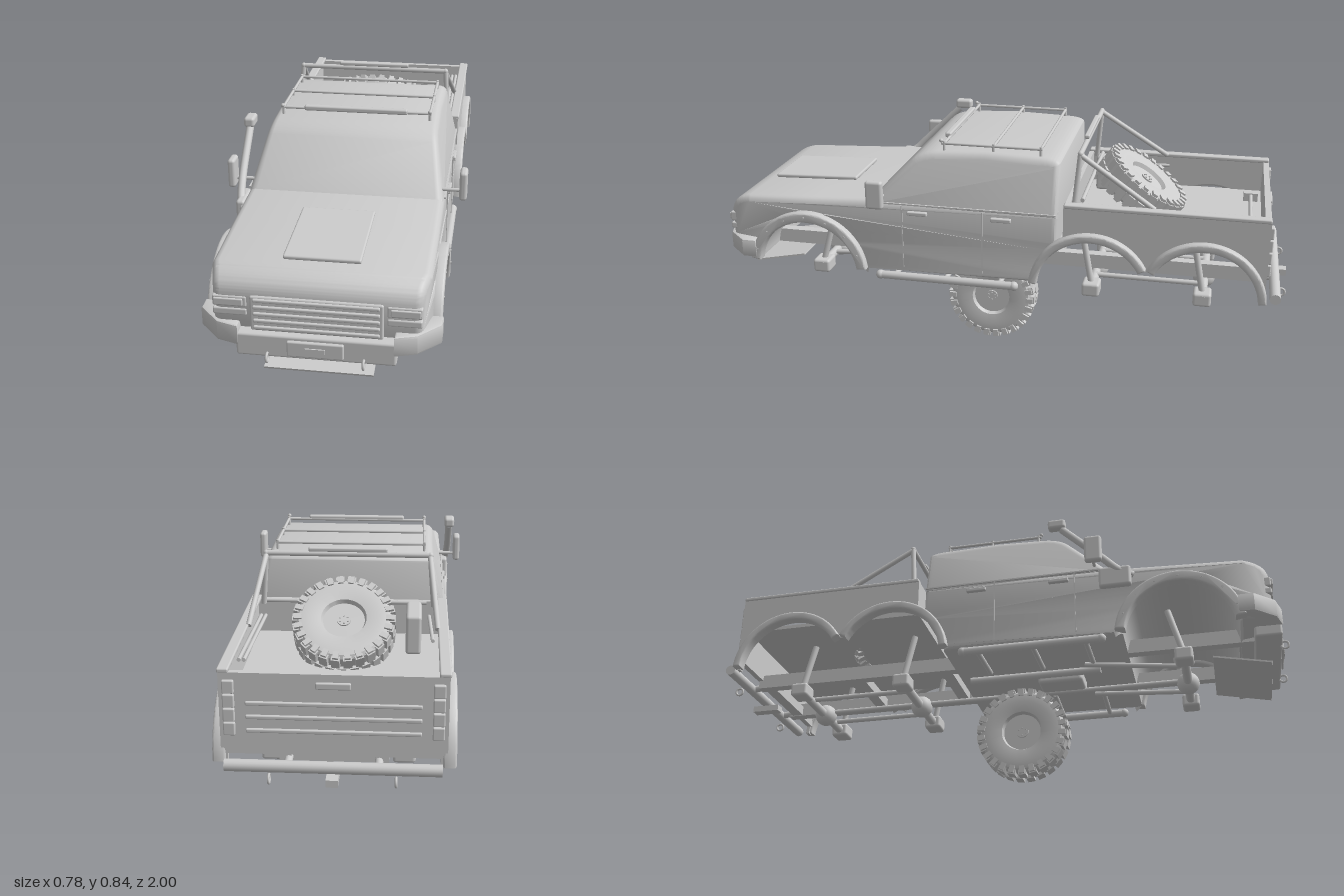
import * as THREE from 'three';
import { toCreasedNormals } from 'three/addons/utils/BufferGeometryUtils.js';
import { RoundedBoxGeometry } from 'three/addons/geometries/RoundedBoxGeometry.js';

const grey = new THREE.MeshStandardMaterial({ color: 0xcccccc });
grey.name = 'grey';
const V = (x, y, z) => new THREE.Vector3(x, y, z);
const rad = THREE.MathUtils.degToRad;

function add(parent, name, geometry) {
  const mesh = new THREE.Mesh(geometry, grey);
  mesh.name = name;
  parent.add(mesh);
  return mesh;
}
function box(parent, name, w, h, d, x, y, z) {
  const m = add(parent, name, new THREE.BoxGeometry(w, h, d));
  m.position.set(x, y, z);
  return m;
}
function soft(parent, name, w, h, d, x, y, z, r = 0.008) {
  const m = add(parent, name, new RoundedBoxGeometry(w, h, d, 2, r));
  m.position.set(x, y, z);
  return m;
}
function bar(parent, name, a, b, r, sides = 12) {
  const dir = b.clone().sub(a);
  const m = add(parent, name, new THREE.CylinderGeometry(r, r, dir.length(), sides));
  m.position.copy(a).add(b).multiplyScalar(0.5);
  m.quaternion.setFromUnitVectors(V(0, 1, 0), dir.normalize());
  return m;
}
// Extrudes a side profile drawn in (z, y) across x, centred on x = 0
function sideExtrude(shape, width, bevel) {
  const g = new THREE.ExtrudeGeometry(shape, {
    depth: width - 2 * bevel, bevelEnabled: bevel > 0, bevelSize: bevel, bevelOffset: -bevel,
    bevelThickness: bevel, bevelSegments: 3, curveSegments: 24,
  });
  g.translate(0, 0, -(width - 2 * bevel) / 2);
  return g.rotateY(-Math.PI / 2);
}
function reshape(g, widthAt) {
  const p = g.attributes.position;
  for (let i = 0; i < p.count; i++) p.setX(i, p.getX(i) * widthAt(p.getY(i), p.getZ(i)));
  return toCreasedNormals(g, 0.6);
}
function flareShape(cz, cy, ri, ro, a0, a1) {
  const s = new THREE.Shape();
  s.absarc(cz, cy, ro, rad(a0), rad(a1), false);
  s.absarc(cz, cy, ri, rad(a1), rad(a0), true);
  return s;
}

// Tyre, rim, hub bolts and staggered tread blocks, axle along x
function makeWheel(name) {
  const wheel = new THREE.Group();
  wheel.name = name;
  const half = [[0, 0.03], [0.066, 0.03], [0.072, 0.044], [0.11, 0.05], [0.142, 0.046], [0.152, 0.036]];
  const pts = [...half.map(([r, a]) => [r, -a]), ...half.slice().reverse()];
  const tyre = new THREE.LatheGeometry(pts.map(([r, a]) => new THREE.Vector2(r, a)), 48);
  add(wheel, 'tyreAndRim', toCreasedNormals(tyre, 0.5).rotateZ(Math.PI / 2));
  const n = 26;
  for (let i = 0; i < n; i++) for (const s of [-1, 1]) {
    const a = ((i + (s > 0 ? 0.5 : 0)) / n) * Math.PI * 2;
    const tread = box(wheel, 'treadBlock', 0.041, 0.018, 0.027, s * 0.0235, Math.cos(a) * 0.154, Math.sin(a) * 0.154);
    tread.rotation.x = a;
    const lug = box(wheel, 'shoulderLug', 0.012, 0.026, 0.018, s * 0.047, Math.cos(a) * 0.146, Math.sin(a) * 0.146);
    lug.rotation.x = a;
  }
  for (const s of [-1, 1]) {
    bar(wheel, 'hub', V(s * 0.02, 0, 0), V(s * 0.035, 0, 0), 0.022, 20);
    for (let i = 0; i < 6; i++) {
      const a = (i / 6) * Math.PI * 2, y = Math.cos(a) * 0.014, z = Math.sin(a) * 0.014;
      bar(wheel, 'wheelBolt', V(s * 0.03, y, z), V(s * 0.039, y, z), 0.003, 6);
    }
  }
  return wheel;
}

function makeCab() {
  const cab = new THREE.Group();
  cab.name = 'cab';
  // Lower body with bonnet and open wheel arches
  const low = new THREE.Shape();
  low.moveTo(0.845, 0.38); low.lineTo(0.92, 0.39); low.lineTo(0.943, 0.45); low.lineTo(0.943, 0.53);
  low.quadraticCurveTo(0.94, 0.59, 0.86, 0.602);
  low.lineTo(0.62, 0.612); low.lineTo(0.42, 0.622); low.lineTo(-0.235, 0.625);
  low.absarc(-0.35, 0.36, 0.19, rad(52.7), rad(3), true);
  low.lineTo(0.455, 0.37);
  low.absarc(0.645, 0.35, 0.192, rad(174), rad(6), true);
  add(cab, 'lowerBody', reshape(sideExtrude(low, 0.65, 0.02),
    (y, z) => (1 - Math.max(0, z - 0.85) * 0.9) * (1 - Math.max(0, y - 0.56) * 0.4)));
  // Tapered cabin
  const up = new THREE.Shape();
  up.moveTo(0.43, 0.6); up.lineTo(0.41, 0.628); up.lineTo(0.275, 0.762);
  up.quadraticCurveTo(0.245, 0.79, 0.19, 0.795); up.lineTo(0.02, 0.803); up.lineTo(-0.17, 0.797);
  up.quadraticCurveTo(-0.235, 0.795, -0.235, 0.775); up.lineTo(-0.235, 0.6);
  add(cab, 'cabin', reshape(sideExtrude(up, 0.645, 0.022),
    (y, z) => 1 - Math.max(0, y - 0.61) * 0.76 - Math.max(0, z - 0.38) * 0.6));
  soft(cab, 'bonnetPanel', 0.23, 0.014, 0.31, 0, 0.616, 0.69, 0.006).rotation.x = 0.035;
  // Grille, lamps and bumper
  soft(cab, 'grilleFrame', 0.385, 0.112, 0.02, 0, 0.48, 0.94, 0.006);
  for (let i = 0; i < 5; i++) soft(cab, 'grilleSlat', 0.365, 0.011, 0.014, 0, 0.437 + i * 0.022, 0.95, 0.004);
  soft(cab, 'bumperCentre', 0.465, 0.074, 0.09, 0, 0.388, 0.925);
  soft(cab, 'bumperPlate', 0.165, 0.05, 0.014, 0, 0.388, 0.972, 0.005);
  box(cab, 'plateRecess', 0.058, 0.016, 0.006, 0, 0.388, 0.98);
  const skid = box(cab, 'skidPlate', 0.325, 0.006, 0.195, 0, 0.306, 0.835);
  skid.rotation.x = 0.2;
  box(cab, 'skidBracket', 0.08, 0.03, 0.03, 0, 0.34, 0.9);
  for (const s of [-1, 1]) {
    soft(cab, 'headlamp', 0.1, 0.034, 0.03, s * 0.252, 0.514, 0.932, 0.005);
    soft(cab, 'headlampLens', 0.085, 0.022, 0.01, s * 0.255, 0.514, 0.948, 0.003);
    soft(cab, 'indicator', 0.1, 0.022, 0.03, s * 0.252, 0.48, 0.932, 0.005);
    const corner = new THREE.Shape([[0.225, -0.975], [0.29, -0.955], [0.355, -0.885], [0.355, -0.835], [0.315, -0.835], [0.225, -0.9]]
      .map(([x, z]) => new THREE.Vector2(s * x, z)));
    const g = new THREE.ExtrudeGeometry(corner, { depth: 0.05, bevelSize: 0.007, bevelOffset: -0.007, bevelThickness: 0.007, bevelSegments: 2 });
    add(cab, 'bumperCorner', toCreasedNormals(g.rotateX(-Math.PI / 2), 0.6)).position.y = 0.393;
    const ring = add(cab, 'frontTowRing', new THREE.TorusGeometry(0.013, 0.004, 8, 16));
    ring.position.set(s * 0.14, 0.355, 0.978);
    ring.rotation.y = Math.PI / 2;
    // Front flare
    add(cab, 'frontFlare', toCreasedNormals(sideExtrude(flareShape(0.645, 0.35, 0.18, 0.215, 8, 174), 0.04, 0.006), 0.6)).position.x = s * 0.331;
    for (let i = 0; i < 7; i++) {
      const a = rad(20 + i * 23), y = 0.35 + 0.198 * Math.sin(a), z = 0.645 + 0.198 * Math.cos(a);
      bar(cab, 'flareBolt', V(s * 0.345, y, z), V(s * 0.354, y, z), 0.004, 6);
    }
    // Mirrors
    bar(cab, 'mirrorArm', V(s * 0.31, 0.64, 0.37), V(s * 0.37, 0.64, 0.37), 0.006);
    soft(cab, 'mirror', 0.025, 0.098, 0.06, s * 0.379, 0.665, 0.375, 0.01);
    // Door seams and handles
    for (const z of [0.3, 0.02]) box(cab, 'doorSeam', 0.004, 0.225, 0.004, s * 0.325, 0.5, z);
    box(cab, 'beltSeam', 0.006, 0.005, 0.62, s * 0.322, 0.617, 0.08);
    for (const z of [0.245, -0.045]) soft(cab, 'doorHandle', 0.016, 0.014, 0.07, s * 0.326, 0.588, z, 0.004);
    // Side step
    bar(cab, 'sideStep', V(s * 0.327, 0.352, 0.385), V(s * 0.327, 0.352, -0.09), 0.014);
    for (const z of [0.385, -0.09]) {
      add(cab, 'stepEnd', new THREE.SphereGeometry(0.016, 12, 8)).position.set(s * 0.327, 0.352, z);
    }
    for (const z of [0.33, 0.15, -0.04]) bar(cab, 'stepBracket', V(s * 0.12, 0.362, z), V(s * 0.325, 0.354, z), 0.009);
  }
  // Snorkel on the right
  const duct = new THREE.CatmullRomCurve3([V(-0.315, 0.585, 0.5), V(-0.335, 0.6, 0.455), V(-0.343, 0.65, 0.4), V(-0.344, 0.78, 0.265)]);
  add(cab, 'snorkelPipe', new THREE.TubeGeometry(duct, 20, 0.013, 12));
  soft(cab, 'snorkelBase', 0.03, 0.075, 0.11, -0.33, 0.575, 0.44, 0.01);
  soft(cab, 'snorkelHead', 0.036, 0.034, 0.062, -0.345, 0.798, 0.248, 0.01);
  return cab;
}

function makeRoofRack() {
  const rack = new THREE.Group();
  rack.name = 'roofRack';
  for (const s of [-1, 1]) {
    bar(rack, 'rackRail', V(s * 0.25, 0.82, 0.175), V(s * 0.25, 0.82, -0.17), 0.005);
    for (const z of [0.165, -0.005, -0.165]) bar(rack, 'rackFoot', V(s * 0.25, 0.78, z), V(s * 0.25, 0.828, z), 0.005);
    add(rack, 'markerLamp', new THREE.SphereGeometry(0.007, 10, 8)).position.set(s * 0.25, 0.829, 0.175);
  }
  for (const z of [0.165, -0.005, -0.165]) bar(rack, 'rackCrossbar', V(-0.25, 0.82, z), V(0.25, 0.82, z), 0.005);
  soft(rack, 'roofLightBar', 0.35, 0.018, 0.022, 0, 0.825, 0.172, 0.006);
  return rack;
}

function makeBed() {
  const bed = new THREE.Group();
  bed.name = 'cargoBed';
  const panel = new THREE.Shape();
  panel.moveTo(-0.255, 0.652);
  panel.lineTo(-0.255, 0.525);
  panel.absarc(-0.35, 0.36, 0.19, rad(60), rad(150), false);
  panel.absarc(-0.72, 0.36, 0.19, rad(30), rad(177), false);
  panel.lineTo(-0.92, 0.37); panel.lineTo(-0.92, 0.652);
  for (const s of [-1, 1]) {
    add(bed, 'bedSide', sideExtrude(panel, 0.02, 0)).position.x = s * 0.315;
    soft(bed, 'bedRail', 0.034, 0.014, 0.665, s * 0.312, 0.654, -0.588, 0.005);
    for (const [c, a0, a1] of [[-0.35, 5, 152], [-0.72, 28, 176]]) {
      add(bed, 'rearFlare', toCreasedNormals(sideExtrude(flareShape(c, 0.36, 0.18, 0.208, a0, a1), 0.04, 0.006), 0.6)).position.x = s * 0.331;
    }
    // Tail lamps, tow rings and bumper ends
    for (let i = 0; i < 4; i++) soft(bed, 'tailLamp', 0.034, 0.04, 0.016, s * 0.297, 0.48 + i * 0.043, -0.923, 0.004);
    const ring = add(bed, 'rearTowRing', new THREE.TorusGeometry(0.013, 0.004, 8, 16));
    ring.position.set(s * 0.18, 0.352, -0.978);
    ring.rotation.y = Math.PI / 2;
    bar(bed, 'bumperBracket', V(s * 0.13, 0.385, -0.9), V(s * 0.13, 0.38, -0.955), 0.012);
    // Roll bar
    bar(bed, 'rollBarPost', V(s * 0.285, 0.64, -0.285), V(s * 0.27, 0.822, -0.3), 0.009);
    bar(bed, 'rollBarBrace', V(s * 0.27, 0.815, -0.302), V(s * 0.295, 0.655, -0.55), 0.009);
    add(bed, 'rollBarCorner', new THREE.SphereGeometry(0.01, 12, 8)).position.set(s * 0.27, 0.82, -0.3);
  }
  bar(bed, 'rollBarTop', V(-0.27, 0.82, -0.3), V(0.27, 0.82, -0.3), 0.009);
  soft(bed, 'rearLightBar', 0.26, 0.014, 0.018, 0, 0.835, -0.3, 0.005);
  box(bed, 'bedFloor', 0.62, 0.012, 0.66, 0, 0.53, -0.588);
  box(bed, 'bedFront', 0.62, 0.13, 0.016, 0, 0.587, -0.263);
  box(bed, 'tailgate', 0.62, 0.25, 0.02, 0, 0.525, -0.91);
  for (let i = 0; i < 3; i++) soft(bed, 'tailgateRib', 0.5, 0.012, 0.012, 0, 0.475 + i * 0.042, -0.922, 0.004);
  soft(bed, 'tailgateHandle', 0.1, 0.02, 0.012, 0, 0.617, -0.923, 0.004);
  bar(bed, 'rearBumper', V(-0.31, 0.38, -0.955), V(0.31, 0.38, -0.955), 0.018, 16);
  box(bed, 'hitch', 0.035, 0.022, 0.1, 0, 0.352, -0.95);
  // Stowed tools
  bar(bed, 'jackShaft', V(-0.19, 0.56, -0.862), V(0.2, 0.56, -0.862), 0.007);
  box(bed, 'jackFoot', 0.03, 0.03, 0.05, -0.185, 0.555, -0.862);
  box(bed, 'jackHead', 0.04, 0.03, 0.03, 0.18, 0.555, -0.862);
  for (const x of [0.27, 0.285]) bar(bed, 'shovelHandle', V(x, 0.64, -0.8), V(x, 0.62, -0.35), 0.006);
  bar(bed, 'axeHandle', V(-0.28, 0.62, -0.56), V(-0.27, 0.62, -0.33), 0.006);
  soft(bed, 'toolBox', 0.05, 0.13, 0.17, -0.22, 0.6, -0.38, 0.01);
  bar(bed, 'wheelCarrier', V(-0.26, 0.66, -0.31), V(0.27, 0.66, -0.31), 0.007);
  return bed;
}

function makeChassis() {
  const chassis = new THREE.Group();
  chassis.name = 'chassis';
  for (const s of [-1, 1]) {
    box(chassis, 'frameRail', 0.035, 0.05, 1.83, s * 0.14, 0.395, 0);
    bar(chassis, 'trailingLink', V(s * 0.11, 0.325, 0.63), V(s * 0.13, 0.355, 0.3), 0.009);
    bar(chassis, 'rearLink', V(s * 0.11, 0.325, -0.34), V(s * 0.11, 0.325, -0.72), 0.009);
  }
  for (const z of [0.85, 0.4, 0.0, -0.2, -0.53, -0.88]) box(chassis, 'crossMember', 0.28, 0.035, 0.04, 0, 0.39, z);
  for (const [z, lean] of [[0.645, -0.045], [-0.34, 0.035], [-0.72, 0.035]]) {
    bar(chassis, 'axleBeam', V(-0.235, 0.318, z), V(0.235, 0.318, z), 0.016);
    const diff = add(chassis, 'differential', new THREE.SphereGeometry(0.04, 16, 12));
    diff.position.set(0.03, 0.32, z);
    for (const s of [-1, 1]) {
      soft(chassis, 'axleEnd', 0.07, 0.048, 0.062, s * 0.2, 0.317, z, 0.01);
      bar(chassis, 'shockAbsorber', V(s * 0.2, 0.33, z), V(s * 0.19, 0.5, z + lean), 0.011);
    }
  }
  bar(chassis, 'driveShaft', V(0.03, 0.33, 0.64), V(0.03, 0.33, -0.72), 0.009);
  soft(chassis, 'transferCase', 0.13, 0.05, 0.16, 0, 0.355, 0.2, 0.012);
  bar(chassis, 'exhaust', V(-0.09, 0.35, 0.35), V(-0.09, 0.35, -0.12), 0.013);
  return chassis;
}

export function createModel() {
  const truck = new THREE.Group();
  truck.name = 'offRoadTruck';
  const wheel = makeWheel('looseWheel');
  wheel.position.set(0, 0.163, 0.055);
  const spare = makeWheel('spareWheel');
  spare.position.set(0, 0.635, -0.48);
  // Wheel axis tipped up and towards the back
  spare.quaternion.setFromUnitVectors(V(1, 0, 0), V(0, Math.cos(rad(35)), -Math.sin(rad(35))));
  truck.add(makeCab(), makeRoofRack(), makeBed(), makeChassis(), wheel, spare);
  return truck;
}
